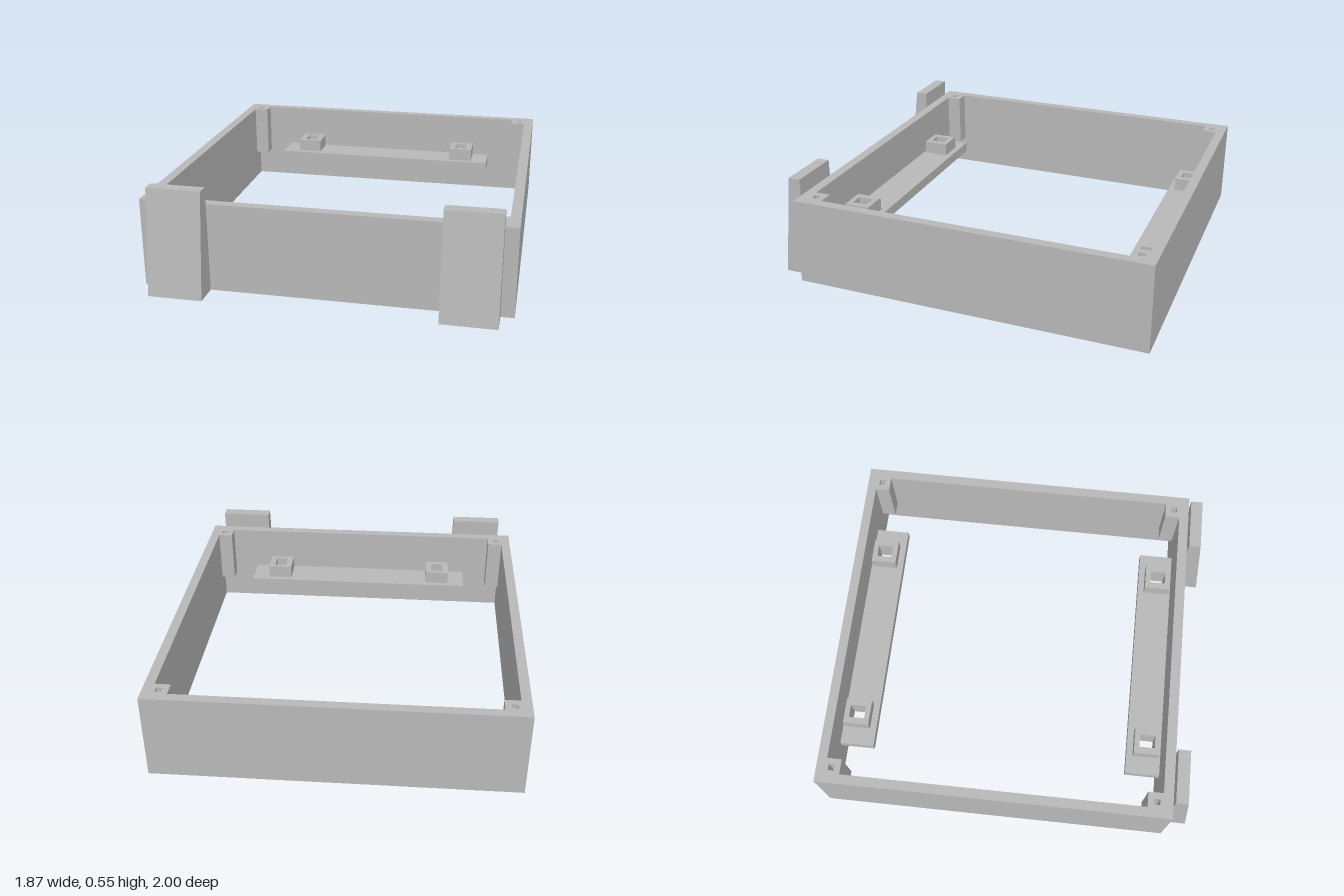
import * as THREE from 'three';

// Rectangle [x0, x1, z0, z1] traced in plan
function trace(path, [x0, x1, z0, z1]) {
  path.moveTo(x0, -z1);
  path.lineTo(x1, -z1);
  path.lineTo(x1, -z0);
  path.lineTo(x0, -z0);
  path.closePath();
  return path;
}

// Rectangular block from y0 to y1 with vertical rectangular holes
function slab(rect, holes, y0, y1) {
  const shape = trace(new THREE.Shape(), rect);
  shape.holes = holes.map((h) => trace(new THREE.Path(), h));
  const geo = new THREE.ExtrudeGeometry(shape, { depth: y1 - y0, bevelEnabled: false });
  return geo.rotateX(-Math.PI / 2).translate(0, y0, 0);
}

const around = (x, z, hx, hz = hx) => [x - hx, x + hx, z - hz, z + hz];

export function createModel() {
  const group = new THREE.Group();
  const grey = new THREE.MeshStandardMaterial({ color: 0xb8b8b8 });
  grey.name = 'grey';
  const add = (name, geo) => {
    const mesh = new THREE.Mesh(geo, grey);
    mesh.name = name;
    group.add(mesh);
  };

  // Open rectangular frame
  add('frame', slab([-0.933, 0.933, -1, 0.868], [[-0.882, 0.882, -0.95, 0.815]], 0, 0.462));

  // Shelves along the front and back walls, each with two pierced bosses
  for (const [side, z0, z1, zb] of [['back', -0.95, -0.765, -0.87], ['front', 0.628, 0.815, 0.732]]) {
    const holes = [-0.492, 0.492].map((x) => around(x, zb, 0.034, 0.042));
    add(side + 'Shelf', slab([-0.66, 0.66, z0, z1], holes, 0.165, 0.22));
    holes.forEach((hole, i) => {
      add(side + 'Boss', slab(around(i ? 0.492 : -0.492, zb, 0.07), [hole], 0.22, 0.292));
    });
  }

  // Corner posts with a blind screw hole in the top
  for (const s of [-1, 1]) {
    for (const [z0, z1, zh] of [[-0.95, -0.873, -0.92], [0.735, 0.815, 0.783]]) {
      const rect = s > 0 ? [0.802, 0.882, z0, z1] : [-0.882, -0.802, z0, z1];
      add('cornerPost', slab(rect, [around(s * 0.85, zh, 0.016)], 0.3, 0.462));
      add('cornerPostBase', slab(rect, [], 0.165, 0.3));
    }
  }

  // Tapered front brackets: side profile extruded across x
  const profile = new THREE.Shape([
    new THREE.Vector2(-0.868, 0),
    new THREE.Vector2(-0.868, 0.55),
    new THREE.Vector2(-0.932, 0.55),
    new THREE.Vector2(-1, 0),
  ]);
  for (const s of [-1, 1]) {
    const geo = new THREE.ExtrudeGeometry(profile, { depth: 0.28, bevelEnabled: false });
    geo.translate(0, 0, -0.14).rotateY(Math.PI / 2).translate(s * 0.725, 0, 0);
    add(s > 0 ? 'leftBracket' : 'rightBracket', geo);
  }
  return group;
}
